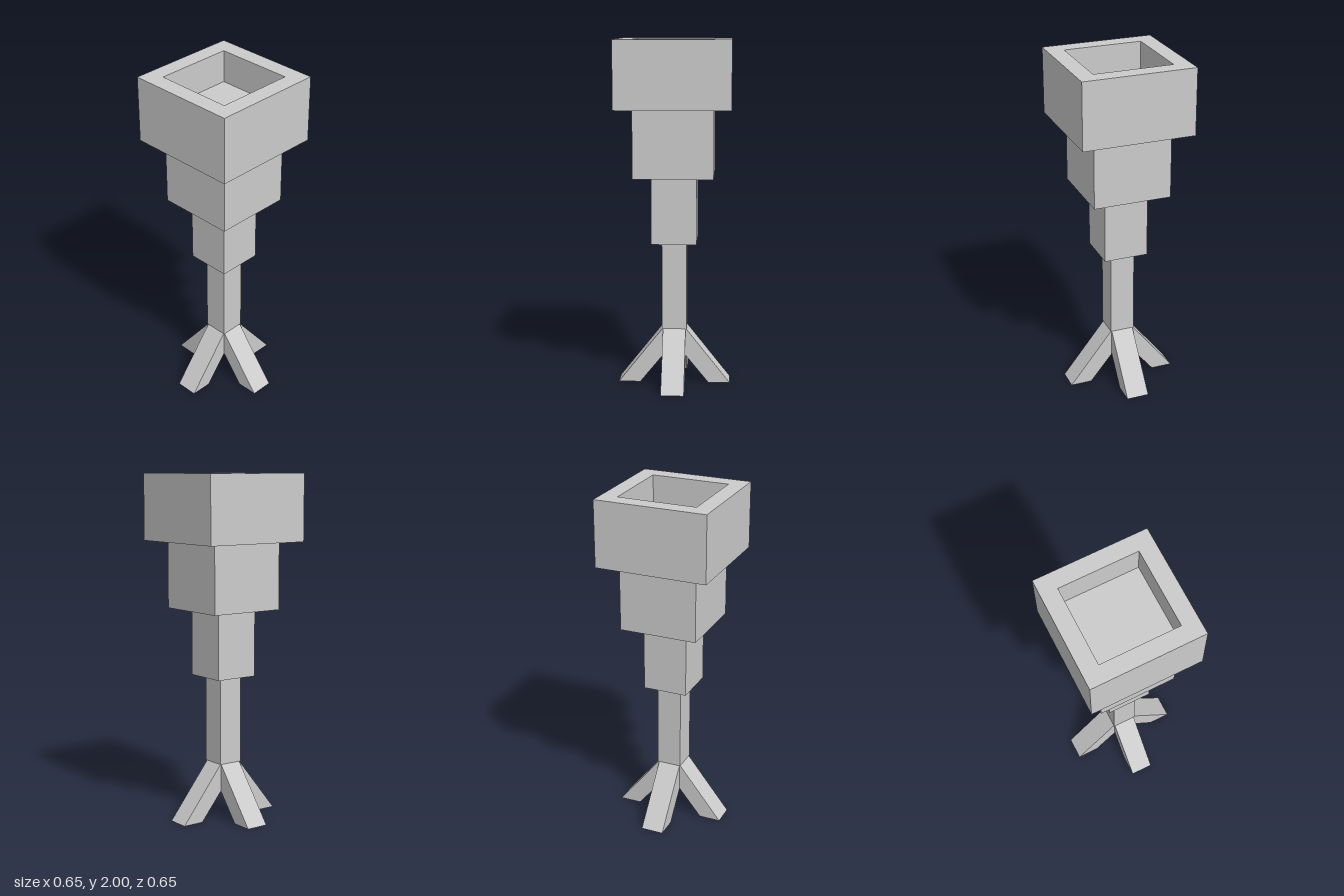
import * as THREE from 'three';

const material = new THREE.MeshStandardMaterial({ color: 0xcccccc, flatShading: true });

function addMesh(group, name, geometry) {
  const mesh = new THREE.Mesh(geometry, material);
  mesh.name = name;
  group.add(mesh);
  return mesh;
}

// Square block of a given half width between two heights
function addBlock(group, name, half, y0, y1) {
  const block = addMesh(group, name, new THREE.BoxGeometry(2 * half, y1 - y0, 2 * half));
  block.position.y = (y0 + y1) / 2;
}

function squarePoints(half) {
  return [[-half, -half], [half, -half], [half, half], [-half, half]].map(([x, y]) => new THREE.Vector2(x, y));
}

export function createModel() {
  const model = new THREE.Group();
  model.name = 'steppedPedestalCup';

  // Stem and widening tiers
  addBlock(model, 'stem', 0.072, 0.325, 0.835);
  addBlock(model, 'lowerTier', 0.13, 0.835, 1.225);
  addBlock(model, 'middleTier', 0.228, 1.225, 1.615);

  // Cup: solid base with a square open wall above it
  const cup = new THREE.Group();
  cup.name = 'cup';
  model.add(cup);
  addBlock(cup, 'cupBase', 0.326, 1.615, 1.81);
  const wall = new THREE.Shape(squarePoints(0.326));
  wall.holes.push(new THREE.Path(squarePoints(0.229).reverse()));
  const wallGeometry = new THREE.ExtrudeGeometry(wall, { depth: 0.19, bevelEnabled: false });
  wallGeometry.rotateX(-Math.PI / 2);
  addMesh(cup, 'cupWall', wallGeometry).position.y = 1.81;

  // Four splayed legs meeting under the stem
  const profile = [[0, 0.245], [0.2, 0], [0.326, 0], [0.068, 0.325], [0, 0.325]];
  const legShape = new THREE.Shape(profile.map(([x, y]) => new THREE.Vector2(x, y)));
  const legGeometry = new THREE.ExtrudeGeometry(legShape, { depth: 0.132, bevelEnabled: false });
  legGeometry.translate(0, 0, -0.066);
  ['leftLeg', 'backLeg', 'rightLeg', 'frontLeg'].forEach((name, i) => {
    addMesh(model, name, legGeometry).rotation.y = (i * Math.PI) / 2;
  });

  return model;
}
